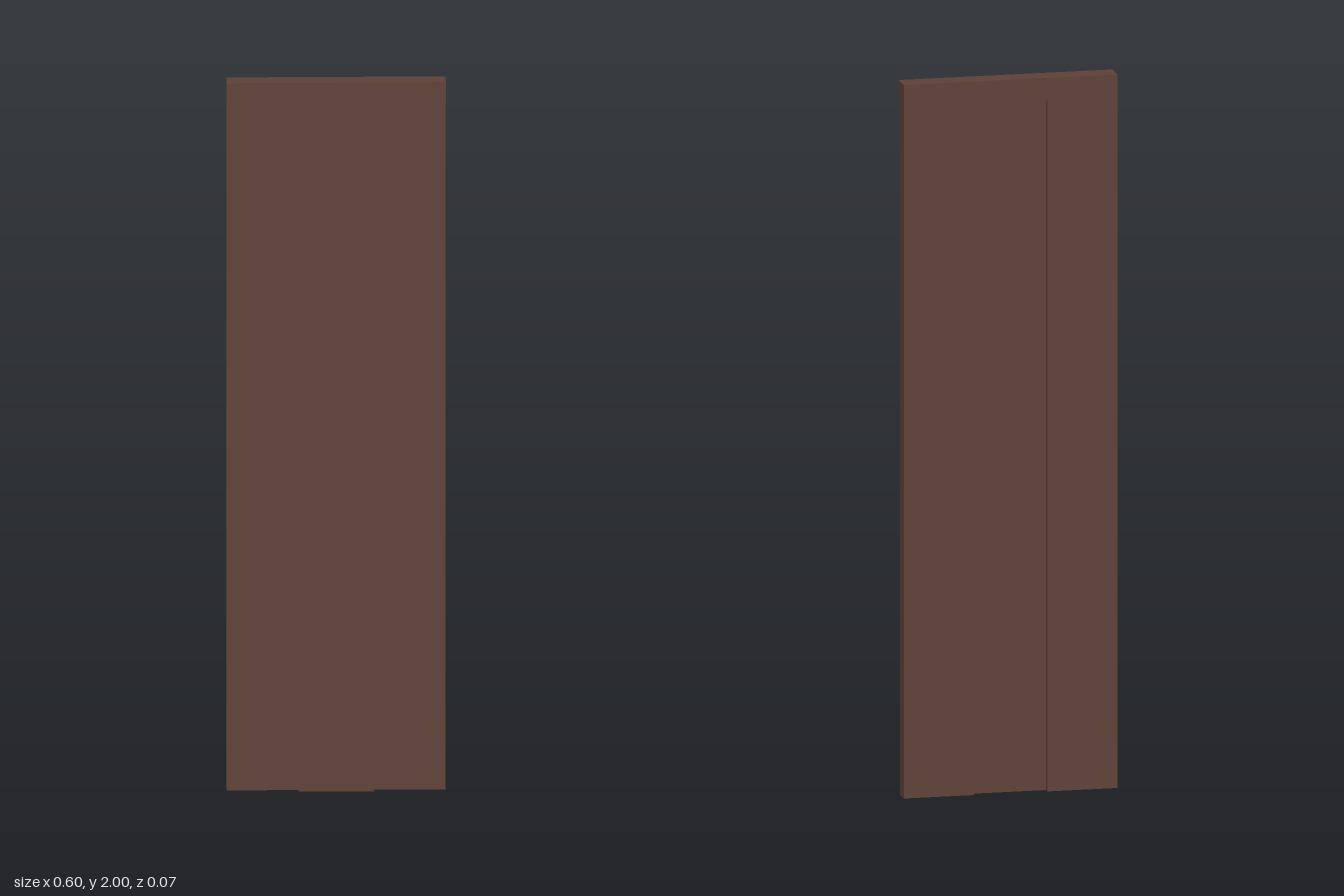
import * as THREE from 'three';

const HALF_WIDTH = 0.3, HALF_DEPTH = 0.033;
const RIB = 0.103;   // half width of the raised middle board
const STEP = 0.015;  // depth of the stepped faces
const HEIGHT = 2, RAIL = 0.063;

export function createModel() {
  const group = new THREE.Group();
  const material = new THREE.MeshStandardMaterial({ color: 0x5d4037 });

  // Corrugated boards: middle stands forward, sides sit back (shape y is -z)
  const section = new THREE.Shape([
    [-HALF_WIDTH, -STEP], [-RIB, -STEP], [-RIB, -HALF_DEPTH], [RIB, -HALF_DEPTH],
    [RIB, -STEP], [HALF_WIDTH, -STEP], [HALF_WIDTH, HALF_DEPTH], [RIB, HALF_DEPTH],
    [RIB, STEP], [-RIB, STEP], [-RIB, HALF_DEPTH], [-HALF_WIDTH, HALF_DEPTH],
  ].map(([x, y]) => new THREE.Vector2(x, y)));
  const panelGeometry = new THREE.ExtrudeGeometry(section, { depth: HEIGHT - RAIL, bevelEnabled: false });
  panelGeometry.rotateX(-Math.PI / 2);
  const panel = new THREE.Mesh(panelGeometry, material);
  panel.name = 'steppedPanel';

  // Full-depth rail across the top
  const rail = new THREE.Mesh(new THREE.BoxGeometry(HALF_WIDTH * 2, RAIL, HALF_DEPTH * 2), material);
  rail.name = 'topRail';
  rail.position.y = HEIGHT - RAIL / 2;

  group.add(panel, rail);
  return group;
}
